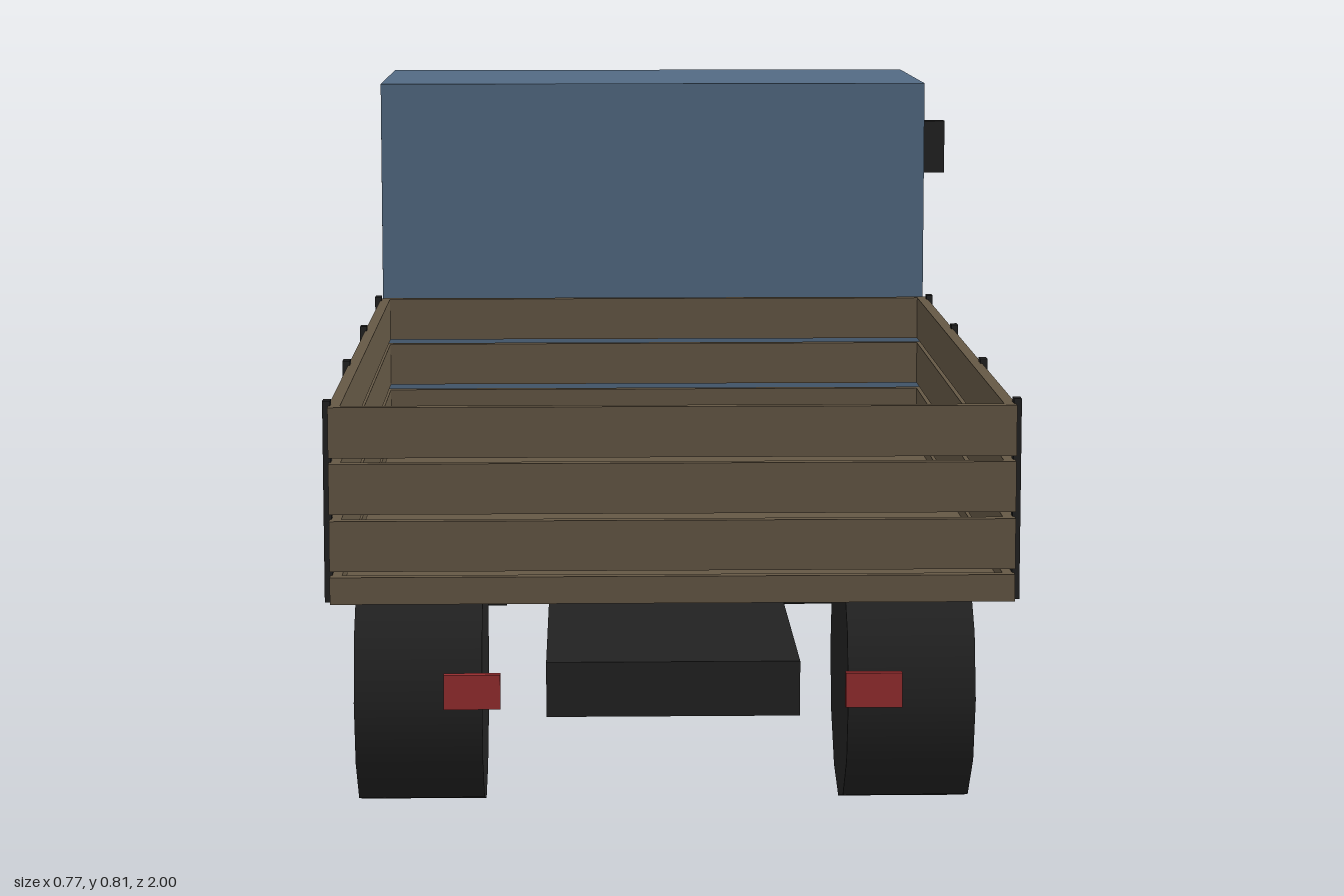
import * as THREE from 'three';

const mat = (name, color, extra = {}) => {
  const m = new THREE.MeshStandardMaterial({ color });
  m.name = name;
  return Object.assign(m, extra);
};

export function createModel() {
  const truck = new THREE.Group();
  truck.name = 'truck';
  const blue = mat('bluePaint', 0x536a83);
  const wood = mat('wood', 0x655845);
  const black = mat('black', 0x222222);
  const silver = mat('silver', 0xa7a9ad);
  const cream = mat('grilleCream', 0xb0aca2);
  const red = mat('redLamp', 0x962d2f);
  const CX = -0.03; // body centre line
  const HALF = 0.35; // body half width

  const add = (name, geo, material, parent = truck) => {
    const m = new THREE.Mesh(geo, material);
    m.name = name;
    parent.add(m);
    return m;
  };
  // Box given by its limits on each axis
  const box = (name, material, x0, x1, y0, y1, z0, z1) => {
    const m = add(name, new THREE.BoxGeometry(x1 - x0, y1 - y0, z1 - z0), material);
    m.position.set((x0 + x1) / 2, (y0 + y1) / 2, (z0 + z1) / 2);
    return m;
  };
  // Side profile of [z, y] points, extruded across x
  const slab = (name, material, pts, x0, x1) => {
    const shape = new THREE.Shape(pts.map(([z, y]) => new THREE.Vector2(-z, y)));
    const geo = new THREE.ExtrudeGeometry(shape, { depth: x1 - x0, bevelEnabled: false });
    geo.rotateY(Math.PI / 2);
    geo.translate(x0, 0, 0);
    return add(name, geo, material);
  };
  // Same slab on both flanks, d0 and d1 measured from the centre line
  const flanks = (name, material, pts, d0, d1) => {
    slab(name + 'Left', material, pts, CX + d0, CX + d1);
    slab(name + 'Right', material, pts, CX - d1, CX - d0);
  };

  // Chassis and bumper
  box('chassis', black, -0.16, 0.1, 0.213, 0.27, -0.52, 1);
  box('bumper', black, CX - 0.355, CX + 0.355, 0.26, 0.312, -1, -0.963);

  // Cab with sloping windscreen
  slab('cab', blue, [[-0.03, 0.265], [-0.03, 0.805], [-0.39, 0.805], [-0.48, 0.6], [-0.48, 0.265]],
    CX - HALF, CX + HALF);
  flanks('sideWindow', black, [[-0.1, 0.61], [-0.1, 0.775], [-0.375, 0.775], [-0.45, 0.61]], HALF, HALF + 0.002);
  flanks('rearDoorSeam', black, [[-0.083, 0.295], [-0.083, 0.778], [-0.094, 0.778], [-0.094, 0.295]], HALF, HALF + 0.003);
  flanks('frontDoorSeam', black, [[-0.452, 0.295], [-0.452, 0.6], [-0.458, 0.6], [-0.458, 0.295]], HALF, HALF + 0.003);
  const screen = add('windscreen', new THREE.BoxGeometry(0.65, 0.12, 0.009), black);
  screen.position.set(CX, 0.67, -0.453);
  screen.rotation.x = Math.atan2(0.09, 0.205);
  box('mirror', black, 0.32, 0.385, 0.66, 0.732, -0.43, -0.415);

  // Hood and fenders
  slab('hood', blue, [[-0.48, 0.295], [-0.48, 0.585], [-0.905, 0.57], [-0.957, 0.53], [-0.957, 0.295]],
    CX - 0.297, CX + 0.297);
  flanks('fender', blue, [[-0.51, 0.295], [-0.51, 0.41], [-0.59, 0.503], [-0.865, 0.503], [-0.957, 0.42], [-0.957, 0.295]],
    0.295, HALF);

  // Grille, slots and headlamps
  box('grille', cream, CX - 0.297, CX + 0.297, 0.325, 0.53, -0.963, -0.956);
  for (let i = 0; i < 5; i++) {
    const y = 0.365 + i * 0.031;
    box('grilleSlot', black, CX - 0.19, CX + 0.19, y, y + 0.018, -0.966, -0.962);
  }
  for (const s of [-1, 1]) {
    const lamp = add('headlamp', new THREE.CylinderGeometry(0.031, 0.031, 0.01, 12), cream);
    lamp.rotation.x = Math.PI / 2;
    lamp.position.set(CX + s * 0.245, 0.412, -0.966);
  }

  // Wheels: tyre with a hub disc on the outer face
  for (const z of [-0.64, 0.5]) {
    for (const s of [-1, 1]) {
      const wheel = new THREE.Group();
      wheel.name = 'wheel';
      wheel.position.set(CX + s * 0.278, 0.147, z);
      wheel.rotation.z = -s * Math.PI / 2;
      add('tyre', new THREE.CylinderGeometry(0.147, 0.147, 0.144, 12), black, wheel);
      const hub = add('hub', new THREE.CylinderGeometry(0.075, 0.075, 0.008, 12), silver, wheel);
      hub.position.y = 0.071;
      truck.add(wheel);
    }
  }

  // Cargo bed: floor, spaced boards and side posts
  const B0 = 0.012, B1 = 0.995, T = 0.012;
  const L = CX - HALF, R = CX + HALF;
  box('bedFloor', wood, L, R, 0.33, 0.345, B0, B1);
  for (const [y0, y1] of [[0.34, 0.358], [0.364, 0.416], [0.423, 0.475], [0.481, 0.533]]) {
    box('boardRight', wood, L, L + T, y0, y1, B0, B1);
    box('boardLeft', wood, R - T, R, y0, y1, B0, B1);
    box('boardFront', wood, L + T, R - T, y0, y1, B0, B0 + T);
    box('tailBoard', wood, L + T, R - T, y0, y1, B1 - T, B1);
  }
  for (const z of [0.035, 0.348, 0.661, 0.975]) {
    box('postRight', black, L - 0.006, L + 0.002, 0.33, 0.538, z - 0.008, z + 0.008);
    box('postLeft', black, R - 0.002, R + 0.006, 0.33, 0.538, z - 0.008, z + 0.008);
  }

  // Tail lamps
  for (const s of [-1, 1]) {
    const x = CX + s * 0.206;
    box('tailLamp', red, x - 0.029, x + 0.029, 0.221, 0.257, 0.99, 1);
  }
  return truck;
}
